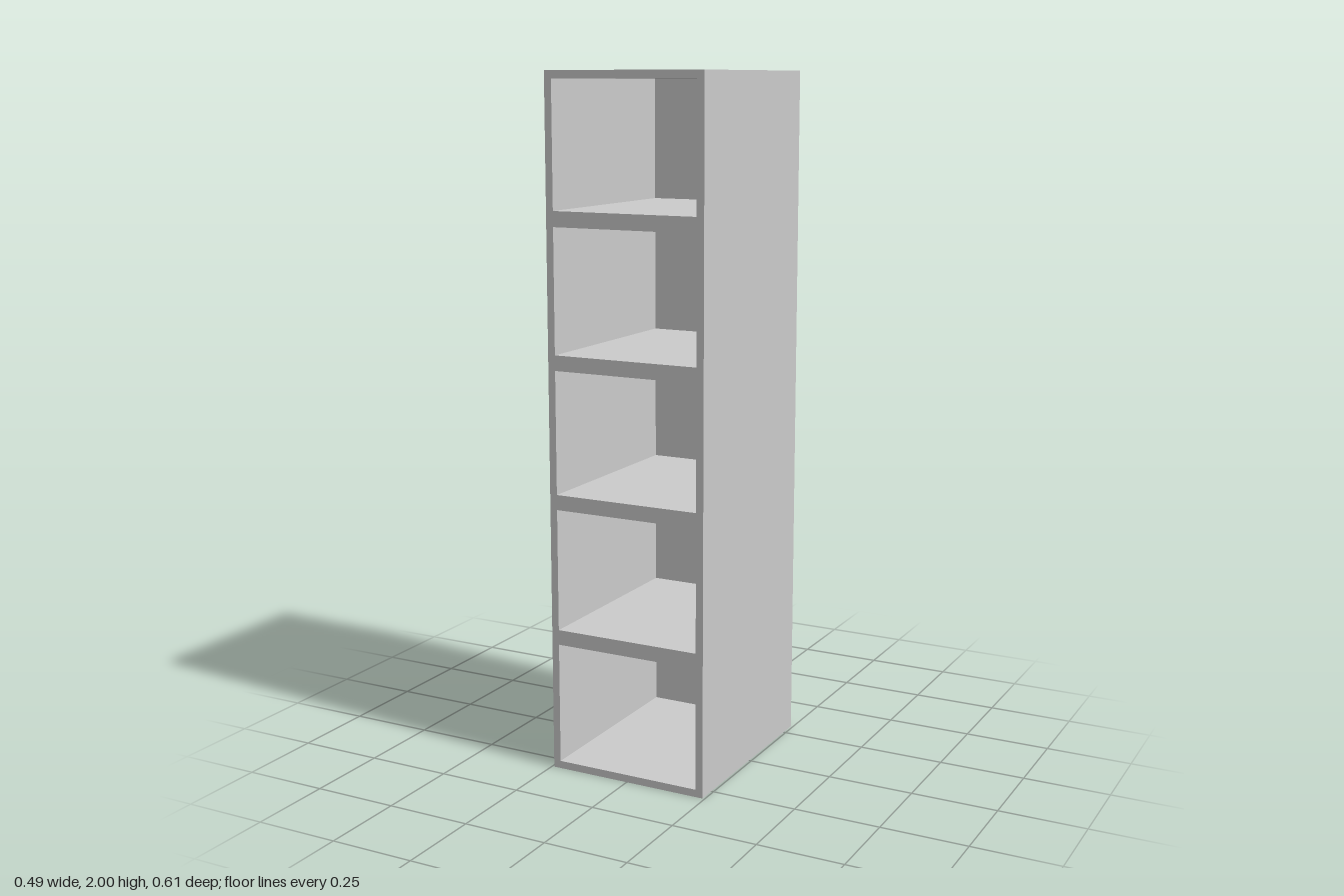
import * as THREE from 'three';

const WIDTH = 0.486, HEIGHT = 2, DEPTH = 0.612;
const BOARD = 0.022; // thickness of each compartment's walls
const CELLS = 5;

// Adds a closed rectangle to a Shape or Path
function rect(path, x0, y0, x1, y1) {
  path.moveTo(x0, y0);
  path.lineTo(x1, y0);
  path.lineTo(x1, y1);
  path.lineTo(x0, y1);
  path.closePath();
  return path;
}

export function createModel() {
  const model = new THREE.Group();
  model.name = 'shelfTower';
  const material = new THREE.MeshStandardMaterial({ color: 0xcccccc });

  // Carcass: outer walls and shelves as one outline with a hole per compartment
  const outline = rect(new THREE.Shape(), -WIDTH / 2, 0, WIDTH / 2, HEIGHT);
  const pitch = HEIGHT / CELLS;
  for (let i = 0; i < CELLS; i++) {
    outline.holes.push(rect(new THREE.Path(),
      -WIDTH / 2 + BOARD, i * pitch + BOARD,
      WIDTH / 2 - BOARD, (i + 1) * pitch - BOARD));
  }
  const carcass = new THREE.Mesh(
    new THREE.ExtrudeGeometry(outline, { depth: DEPTH - BOARD, bevelEnabled: false }), material);
  carcass.name = 'carcassWithShelves';
  carcass.position.z = -DEPTH / 2 + BOARD;
  model.add(carcass);

  // Back panel closing all compartments
  const back = new THREE.Mesh(new THREE.BoxGeometry(WIDTH, HEIGHT, BOARD), material);
  back.name = 'backPanel';
  back.position.set(0, HEIGHT / 2, -DEPTH / 2 + BOARD / 2);
  model.add(back);

  return model;
}
